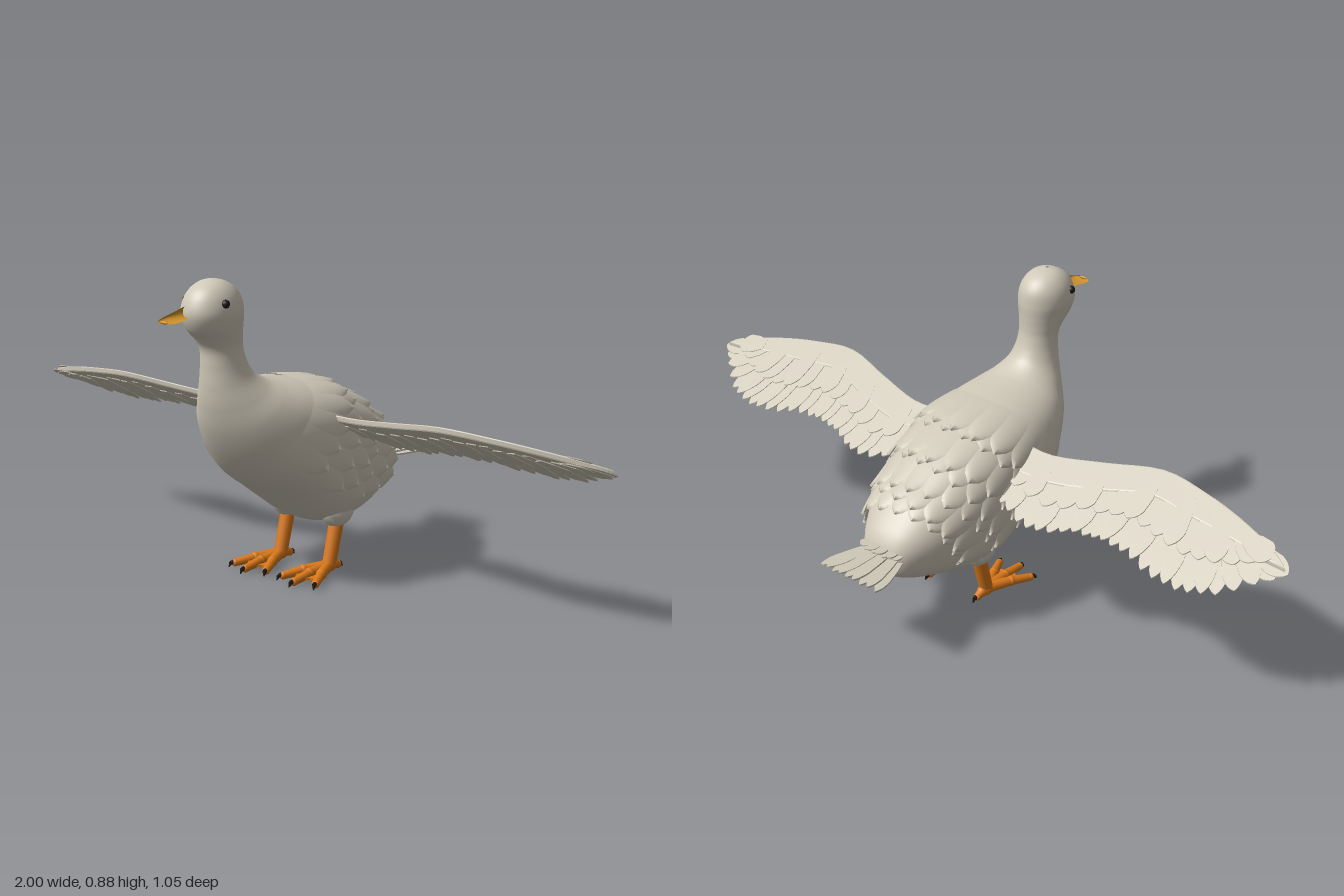
import * as THREE from 'three';
import { mergeGeometries } from 'three/addons/utils/BufferGeometryUtils.js';
import { ParametricGeometry } from 'three/addons/geometries/ParametricGeometry.js';

const V3 = (x, y, z) => new THREE.Vector3(x, y, z);
const mat = (name, color, extra = {}) => new THREE.MeshStandardMaterial({ name, color, ...extra });

// Body cross-sections, crown to rump: front/belly z, y, back z, y, half width
const SECTIONS = [
  [.345, .879, .335, .879, .004], [.372, .871, .305, .871, .034], [.402, .853, .275, .853, .056],
  [.422, .825, .256, .825, .071], [.43, .788, .25, .788, .076], [.415, .75, .25, .75, .068],
  [.385, .72, .25, .72, .06], [.367, .69, .247, .692, .056], [.363, .645, .235, .655, .061],
  [.36, .59, .215, .625, .075], [.35, .53, .18, .603, .102], [.325, .46, .14, .592, .135],
  [.28, .385, .08, .583, .162], [.22, .315, .02, .572, .178], [.15, .265, -.05, .553, .184],
  [.08, .215, -.12, .522, .184], [0, .16, -.185, .487, .179], [-.06, .14, -.245, .446, .168],
  [-.14, .142, -.295, .412, .15], [-.22, .16, -.335, .375, .126], [-.31, .185, -.368, .34, .093],
  [-.37, .215, -.386, .308, .058], [-.392, .25, -.393, .278, .006],
];
const LAST = SECTIONS.length - 1;
const belly = new THREE.CatmullRomCurve3(SECTIONS.map(s => V3(0, s[1], s[0])), false, 'catmullrom', .5);
const back = new THREE.CatmullRomCurve3(SECTIONS.map(s => V3(s[4], s[3], s[2])), false, 'catmullrom', .5);

// Point on the body: s = section number, a = angle from the spine, lift = height above the skin
function skin(s, a, lift, target) {
  const u = THREE.MathUtils.clamp(s / LAST, 0, 1);
  const v = belly.getPoint(u), d = back.getPoint(u), w = d.x;
  d.x = 0;
  const full = 1 + .07 * THREE.MathUtils.smoothstep(s, 10, 14) * Math.sin(2 * a) ** 2;
  const mid = v.clone().add(d).multiplyScalar(.5);
  const out = d.sub(v).multiplyScalar(.5 * full * Math.cos(a));
  out.x = w * full * Math.sin(a);
  out.setLength(out.length() + lift);
  return target.copy(mid).add(out);
}

// One curved feather lying on the body
function bodyFeather(s, a, length, halfAngle, rise) {
  return new ParametricGeometry((u, v, t) => {
    const c = u * 2 - 1;
    const k = Math.max(0, (v - .5) / .5);
    const width = halfAngle * Math.max(.03, (1 - k * k) ** .7);
    skin(s + v * length, a + c * width, .002 + rise * v * (1 - .35 * c * c), t);
  }, 6, 8);
}

// Flat feather outline from root p to tip q
function featherShape(p, q, w) {
  const dir = q.clone().sub(p).normalize();
  const n = new THREE.Vector2(-dir.y, dir.x);
  const at = (f, k) => p.clone().lerp(q, f).addScaledVector(n, w * k);
  const shape = new THREE.Shape([at(0, -.5), at(.35, -.9), at(.7, -1)]);
  const [c, d, e] = [at(.93, -.8), at(.93, .8), at(.7, 1)];
  shape.quadraticCurveTo(c.x, c.y, q.x, q.y);
  shape.quadraticCurveTo(d.x, d.y, e.x, e.y);
  const [f, g] = [at(.35, .9), at(0, .5)];
  shape.lineTo(f.x, f.y);
  shape.lineTo(g.x, g.y);
  return shape;
}

// Thin plate drawn in x, z and laid level at height y
function plate(shape, depth, y, bevel = 0) {
  const g = new THREE.ExtrudeGeometry(shape, {
    depth, curveSegments: 5, bevelEnabled: bevel > 0, bevelSize: bevel, bevelThickness: bevel, bevelSegments: 2,
  });
  return g.rotateX(Math.PI / 2).translate(0, y + depth / 2, 0);
}

// Tapered round rod from a to b
function rod(a, b, ra, rb, sides = 14) {
  const dir = b.clone().sub(a);
  const g = new THREE.CylinderGeometry(rb, ra, dir.length(), sides);
  g.applyQuaternion(new THREE.Quaternion().setFromUnitVectors(V3(0, 1, 0), dir.clone().normalize()));
  const m = a.clone().add(b).multiplyScalar(.5);
  return g.translate(m.x, m.y, m.z);
}
const ball = (p, r) => new THREE.SphereGeometry(r, 14, 10).translate(p.x, p.y, p.z);

export function createModel() {
  const group = new THREE.Group();
  const plumage = mat('plumage', 0xcfc8b8);
  const feather = mat('feathers', 0xcfc8b8, { side: THREE.DoubleSide });
  const beakMat = mat('beak ochre', 0xcf9128);
  const legMat = mat('leg orange', 0xd9781a);
  const black = mat('claw black', 0x1c1a18);
  const add = (name, geo, material, parent = group) => {
    const m = new THREE.Mesh(Array.isArray(geo) ? mergeGeometries(geo) : geo, material);
    m.name = name;
    parent.add(m);
    return m;
  };

  // Head, neck and body in one smooth skin
  add('body', new ParametricGeometry((u, v, t) => skin(v * LAST, u * Math.PI * 2, 0, t), 48, 110), plumage);

  // Overlapping rows of feathers over the back and flanks
  for (let r = 0; r < 7; r++) {
    const row = [], count = 13 - (r > 4 ? 2 : 0), reach = 2.2 - r * .04;
    for (let i = 0; i < count; i++) {
      const jitter = Math.sin(i * 12.9 + r * 78.2);
      const a = ((i + .5 + (r % 2 ? .2 : -.2)) / count * 2 - 1) * reach;
      row.push(bodyFeather(12.3 + r * .78 + jitter * .15, a, 2 + jitter * .2, reach / count * 1.25, .017 + jitter * .004));
    }
    add('featherRow' + (r + 1), row, feather);
  }

  // Beak: flattened oval sections: z, y, half width, half height
  const bill = new THREE.CatmullRomCurve3([[.405, .802, .025], [.43, .8, .025], [.46, .795, .026], [.49, .789, .03],
    [.51, .786, .027], [.521, .785, .014]].map(p => V3(p[2], p[1], p[0])));
  add('beak', new ParametricGeometry((u, v, t) => {
    const p = bill.getPoint(v), a = u * Math.PI * 2;
    const h = THREE.MathUtils.lerp(.02, .004, Math.min(1, v * 1.1));
    t.set(p.x * Math.sin(a), p.y + h * Math.cos(a), p.z);
  }, 24, 16), beakMat);
  add('beakTip', ball(V3(0, 0, 0), 1).scale(.014, .004, .003).translate(0, .785, .52), beakMat);

  // Tail fan and the short coverts above it
  const tail = [], covert = [];
  for (let i = -4; i <= 4; i++) {
    const f = i / 4, y = .284 - .008 * Math.abs(f) + (i % 2 ? .004 : 0);
    const root = new THREE.Vector2(f * .05, -.35);
    tail.push(plate(featherShape(root, new THREE.Vector2(f * .098, -.524 + .01 * f * f), .017), .005, y));
    covert.push(plate(featherShape(root, new THREE.Vector2(f * .062, -.418 + .02 * f * f), .014), .004, y + .022));
  }
  add('tail', tail, feather);
  add('tailCoverts', covert, feather);

  for (const side of [1, -1]) {
    const label = side > 0 ? 'left' : 'right';
    const P = (x, z) => new THREE.Vector2(x * side, z);
    const spline = pts => new THREE.SplineCurve(pts.map(p => P(...p)));

    // Eye
    add(label + 'Eye', ball(V3(side * .068, .82, .364), .0115), black);

    // Wing: flight feathers, covert rows and a thicker leading edge, tilted down to the rear
    const wing = new THREE.Group();
    wing.name = label + 'Wing';
    group.add(wing);
    const tilt = g => g.applyMatrix4(new THREE.Matrix4().makeShear(0, 0, 0, 0, 0, .55)).translate(0, .455, 0);
    const roots = spline([[.15, .03], [.3, .02], [.45, .05], [.58, .085], [.68, .075], [.78, .055], [.86, .035]]);
    const tips = spline([[.17, -.1], [.31, -.143], [.44, -.105], [.56, -.1], [.72, -.135], [.86, -.11], [1, 0]]);
    for (const [name, count, reach, y, w] of [['flightFeathers', 26, 1, -.004, .027],
      ['upperCoverts', 18, .62, .006, .03], ['underCoverts', 18, .6, -.012, .03]]) {
      const list = [];
      for (let i = 0; i < count; i++) {
        const f = i / (count - 1), p = roots.getPoint(f);
        const q = p.clone().lerp(tips.getPoint(f), reach);
        list.push(tilt(plate(featherShape(p, q, w), .003, y + (i % 3 - 1) * .0022)));
      }
      add(name, list, feather, wing);
    }
    const front = spline([[.14, .05], [.25, .045], [.4, .078], [.56, .116], [.7, .1], [.82, .072], [.93, .034], [.985, .004]]);
    const rear = spline([[.93, .01], [.82, .025], [.68, .04], [.56, .05], [.42, .01], [.28, -.02], [.14, -.02]]);
    const edge = new THREE.Shape([...front.getPoints(28), ...rear.getPoints(24)]);
    add('leadingEdge', tilt(plate(edge, .01, 0, .004)), feather, wing);

    // Leg
    const leg = new THREE.Group();
    leg.name = label + 'Leg';
    group.add(leg);
    const L = (x, y, z) => V3(side * (.09 + x), y, z);
    add('thigh', ball(V3(0, 0, 0), 1).scale(.045, .055, .06).translate(side * .09, .185, -.075), plumage, leg);
    add('shank', [rod(L(0, .19, -.086), L(0, .025, -.04), .022, .02), ball(L(0, .024, -.042), .021)], legMat, leg);

    // Toes with knuckles and claws; the last toe points backward
    const toes = [], claws = [];
    for (const [x, z] of [[-.058, .095], [0, .118], [.058, .095], [0, -.08]]) {
      const a = L(0, .022, -.035), b = L(x, .014, z);
      const knuckle = a.clone().lerp(b, .55).setY(.021);
      toes.push(rod(a, knuckle, .017, .014), ball(knuckle, .0155), rod(knuckle, b, .014, .011), ball(b, .0115));
      const out = b.clone().sub(a).setY(0).normalize();
      const bend = b.clone().addScaledVector(out, .014).setY(.015);
      claws.push(rod(b.clone().setY(.017), bend, .008, .006, 8),
        rod(bend, bend.clone().addScaledVector(out, .007).setY(.003), .006, .001, 8));
    }
    add('toes', toes, legMat, leg);
    add('claws', claws, black, leg);

    // Web between the front toes
    const web = new THREE.Shape();
    web.moveTo(side * .09, -.03);
    web.lineTo(side * .035, .08);
    web.quadraticCurveTo(side * .066, .05, side * .09, .1);
    web.quadraticCurveTo(side * .114, .05, side * .145, .08);
    add('web', plate(web, .006, .014), legMat, leg);
  }
  return group;
}
